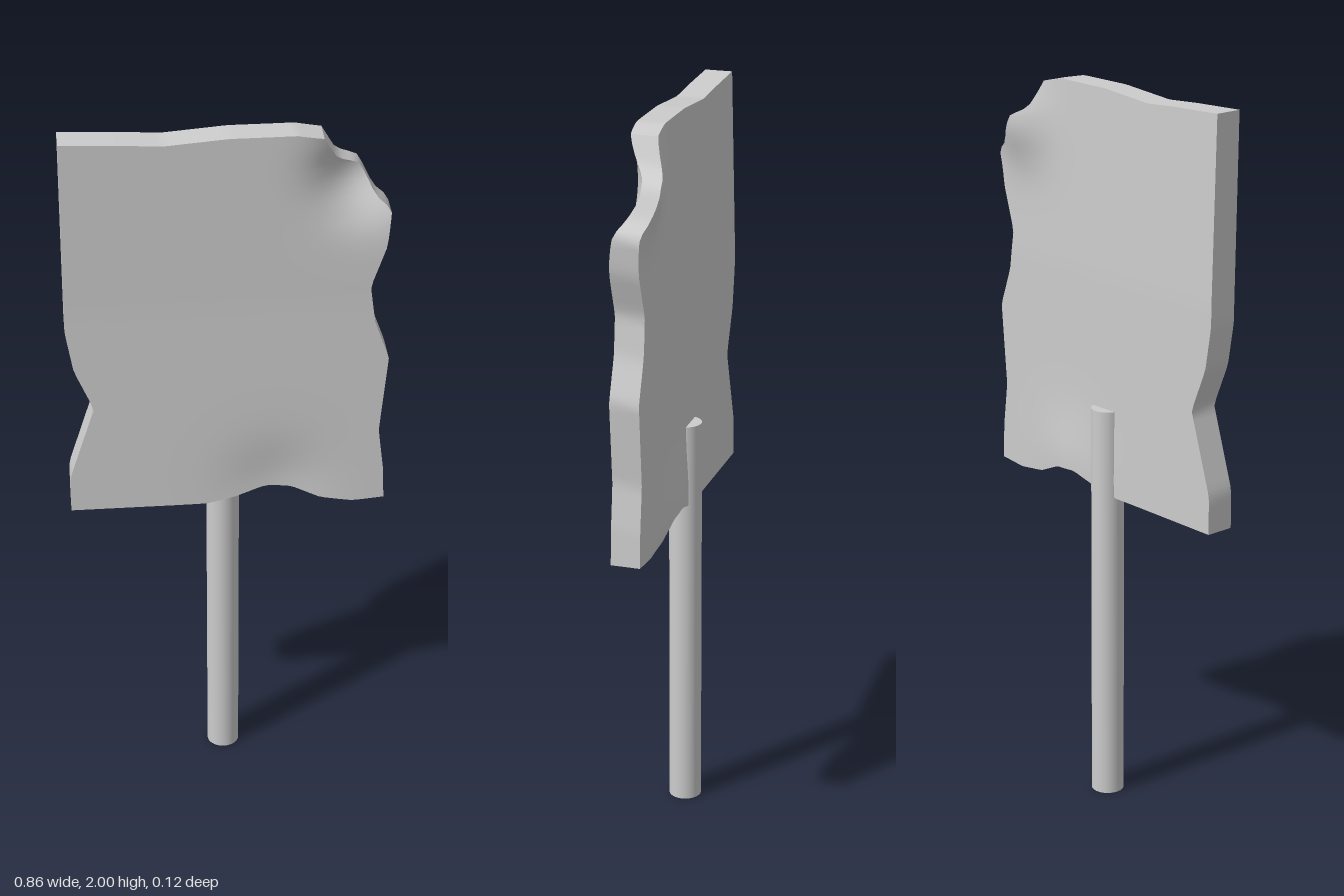
import * as THREE from 'three';

const N = 48;

// Sample a polyline edge evenly
function edge(points) {
  const path = new THREE.CurvePath();
  const p = points.map(([x, y]) => new THREE.Vector2(x, y));
  for (let i = 1; i < p.length; i++) path.add(new THREE.LineCurve(p[i - 1], p[i]));
  return Array.from({ length: N + 1 }, (_, i) => path.getPointAt(i / N));
}

// Ragged board outline, each edge running left to right or bottom to top
const bottom = edge([[-0.43, 0.885], [-0.06, 0.885], [0.02, 0.9], [0.1, 0.925], [0.17, 0.92], [0.25, 0.885], [0.34, 0.872], [0.425, 0.88]]);
const top = edge([[-0.43, 2], [-0.27, 1.993], [-0.17, 1.986], [0, 2], [0.17, 2], [0.24, 1.985]]);
const left = edge([[-0.43, 0.885], [-0.43, 0.99], [-0.36, 1.21], [-0.41, 1.33], [-0.43, 1.45], [-0.43, 2]]);
const right = edge([[0.425, 0.88], [0.42, 0.98], [0.405, 1.1], [0.425, 1.33], [0.385, 1.44], [0.37, 1.55], [0.41, 1.67],
  [0.42, 1.77], [0.38, 1.8], [0.34, 1.88], [0.28, 1.91], [0.24, 1.985]]);

const bump = (x, y, cx, cy, r) => Math.exp(-((x - cx) ** 2 + (y - cy) ** 2) / (2 * r * r));

// Front and back surfaces, with the upper corner and the lower notch bent back
function depth(x, y, front) {
  const corner = bump(x, y, 0.34, 1.87, 0.075);
  const notch = bump(x, y, 0.13, 0.94, 0.09);
  const t = THREE.MathUtils.clamp((2 - y) / 0.5, 0, 1);
  return front ? 0.06 - 0.008 * t - 0.068 * corner - 0.018 * notch
    : -0.016 - 0.012 * t - 0.042 * corner - 0.015 * notch;
}

// Point on the board, blended from its four edges
function boardPoint(i, j, front) {
  const u = i / N, v = j / N;
  const mix = (k) => (1 - v) * bottom[i][k] + v * top[i][k] + (1 - u) * left[j][k] + u * right[j][k]
    - (1 - u) * (1 - v) * bottom[0][k] - u * (1 - v) * bottom[N][k] - (1 - u) * v * top[0][k] - u * v * top[N][k];
  const x = mix('x'), y = mix('y');
  return [x, y, depth(x, y, front)];
}

// Grid surface from a point rule
function surface(cols, rows, point, flip) {
  const pos = [], index = [];
  for (let j = 0; j <= rows; j++) for (let i = 0; i <= cols; i++) pos.push(...point(i, j));
  for (let j = 0; j < rows; j++) for (let i = 0; i < cols; i++) {
    const a = j * (cols + 1) + i, b = a + 1, d = a + cols + 1, c = d + 1;
    index.push(...(flip ? [a, c, b, a, d, c] : [a, b, c, a, c, d]));
  }
  const g = new THREE.BufferGeometry();
  g.setAttribute('position', new THREE.Float32BufferAttribute(pos, 3));
  g.setIndex(index);
  g.computeVertexNormals();
  return g;
}

export function createModel() {
  const grey = new THREE.MeshStandardMaterial({ color: 0xcccccc });
  grey.name = 'grey';
  const model = new THREE.Group();
  model.name = 'signOnStick';
  const board = new THREE.Group();
  board.name = 'board';
  model.add(board);
  const add = (parent, name, geometry) => {
    const mesh = new THREE.Mesh(geometry, grey);
    mesh.name = name;
    parent.add(mesh);
    return mesh;
  };

  // Board faces and rim
  add(board, 'boardFront', surface(N, N, (i, j) => boardPoint(i, j, true), false));
  add(board, 'boardBack', surface(N, N, (i, j) => boardPoint(i, j, false), true));
  add(board, 'bottomRim', surface(N, 1, (i, j) => boardPoint(i, 0, j === 1), false));
  add(board, 'topRim', surface(N, 1, (i, j) => boardPoint(i, N, j === 1), true));
  add(board, 'leftRim', surface(N, 1, (i, j) => boardPoint(0, i, j === 1), true));
  add(board, 'rightRim', surface(N, 1, (i, j) => boardPoint(N, i, j === 1), false));

  // Round stick set into the back of the board
  const stick = add(model, 'stick', new THREE.CylinderGeometry(0.045, 0.045, 1.13, 32));
  stick.position.set(-0.012, 0.565, -0.015);
  return model;
}
